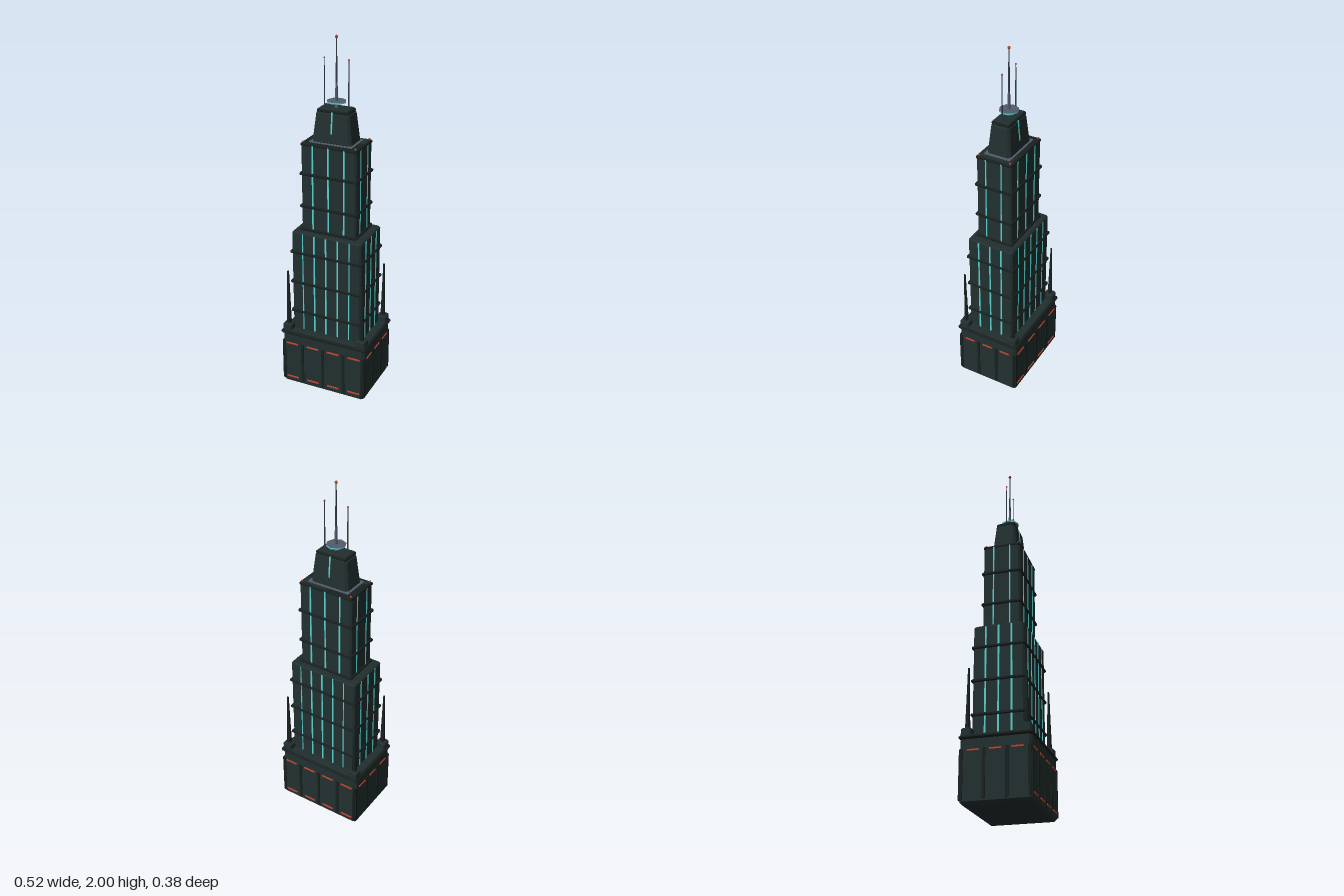
import * as THREE from 'three';

const mat = (name, color) => Object.assign(new THREE.MeshStandardMaterial({ color }), { name });

export function createModel() {
  const body = mat('dark stone', 0x222f2f);
  const trim = mat('black trim', 0x18211f);
  const cyan = mat('cyan light', 0x56cfcf);
  const red = mat('red light', 0xc2422f);
  const steel = mat('grey steel', 0x525c6b);
  const mast = mat('mast metal', 0x353b45);

  const model = new THREE.Group();
  model.name = 'skyscraper';

  const add = (name, geometry, material, x = 0, y = 0, z = 0) => {
    const mesh = new THREE.Mesh(geometry, material);
    mesh.name = name;
    mesh.position.set(x, y, z);
    model.add(mesh);
    return mesh;
  };
  const box = (name, material, w, h, d, x, y, z) =>
    add(name, new THREE.BoxGeometry(w, h, d), material, x, y, z);

  // Block with chamfered edges; hx, hz are half sizes, taper shrinks the top
  const chamfered = (hx, hz, y0, y1, c, taperX = 1, taperZ = 1) => {
    const a = hx - c, b = hz - c, k = c * 0.6;
    const shape = new THREE.Shape([
      [a - k, -b], [a, -b + k], [a, b - k], [a - k, b],
      [-a + k, b], [-a, b - k], [-a, -b + k], [-a + k, -b],
    ].map(([x, y]) => new THREE.Vector2(x, y)));
    const h = y1 - y0;
    const g = new THREE.ExtrudeGeometry(shape, {
      depth: h - 2 * c, bevelEnabled: true, bevelSize: c, bevelThickness: c, bevelSegments: 1,
    });
    g.rotateX(-Math.PI / 2).translate(0, y0 + c, 0);
    const p = g.attributes.position;
    for (let i = 0; i < p.count; i++) {
      const t = (p.getY(i) - y0) / h;
      p.setX(i, p.getX(i) * (1 + (taperX - 1) * t));
      p.setZ(i, p.getZ(i) * (1 + (taperZ - 1) * t));
    }
    g.computeVertexNormals();
    return g;
  };
  const block = (name, material, ...args) => add(name, chamfered(...args), material);

  // Base with cornice
  block('base', body, 0.25, 0.182, 0, 0.33, 0.012);
  block('baseCornice', trim, 0.26, 0.19, 0.32, 0.342, 0.008);
  block('baseRoof', body, 0.25, 0.18, 0.325, 0.346, 0.006);

  // Base pilasters, rails and red lights on all four sides
  for (const s of [-1, 1]) {
    for (const x of [-0.24, -0.127, 0, 0.127, 0.24])
      box('basePilaster', trim, 0.016, 0.25, 0.008, x, 0.145, s * 0.182);
    for (const z of [-0.172, -0.058, 0.058, 0.172])
      box('basePilaster', trim, 0.008, 0.25, 0.016, s * 0.25, 0.145, z);
    for (const x of [-0.19, -0.0625, 0.0625, 0.19])
      for (const y of [0.04, 0.263])
        box('baseLight', red, 0.072, 0.008, 0.006, x, y, s * 0.184);
    for (const z of [-0.113, 0, 0.113])
      box('baseLight', red, 0.006, 0.008, 0.06, s * 0.252, 0.263, z);
  }

  // Corner pylons
  for (const x of [-0.223, 0.223]) for (const z of [-0.152, 0.152]) {
    const foot = block('pylonFoot', body, 0.028, 0.028, 0.335, 0.38, 0.006);
    foot.position.set(x, 0, z);
    const part = (rt, rb, y0, y1) =>
      add('pylon', new THREE.CylinderGeometry(rt, rb, y1 - y0, 6).toNonIndexed(), trim, x, (y0 + y1) / 2, z)
        .geometry.computeVertexNormals();
    part(0.009, 0.014, 0.38, 0.55);
    part(0.005, 0.009, 0.55, 0.705);
  }

  // Two shaft tiers with ring bands and vertical light strips
  const tiers = [
    { name: 'lowerShaft', hx: 0.205, hz: 0.136, y0: 0.34, y1: 0.945, bands: [0.457, 0.64, 0.823],
      xs: [-0.138, -0.069, 0, 0.069, 0.138], zs: [-0.069, 0, 0.069], wz: 0.009 },
    { name: 'upperShaft', hx: 0.158, hz: 0.102, y0: 0.94, y1: 1.445, bands: [0.956, 1.09, 1.275, 1.437],
      xs: [-0.09, 0, 0.09], zs: [-0.045, 0.045], wz: 0.007 },
  ];
  for (const t of tiers) {
    const mid = (t.y0 + t.y1) / 2, h = t.y1 - t.y0 - 0.016;
    block(t.name, body, t.hx, t.hz, t.y0, t.y1, 0.008);
    for (const y of t.bands) {
      const out = y > 1.4 ? 0.002 : 0.008;
      block(t.name + 'Band', trim, t.hx + out, t.hz + out, y - 0.008, y + 0.008, 0.004);
    }
    for (const s of [-1, 1]) {
      for (const x of t.xs)
        box(t.name + 'Light', cyan, Math.abs(x) > 0.1 ? 0.006 : 0.009, h, 0.006, x, mid, s * t.hz);
      for (const z of t.zs)
        box(t.name + 'Light', cyan, 0.006, h, t.wz, s * t.hx, mid, z);
    }
  }

  // Red lights on the upper shaft corners
  for (const x of [-0.148, 0.148]) for (const z of [-0.091, 0.091])
    add('cornerLight', new THREE.SphereGeometry(0.006, 8, 6), red, x, 1.45, z);

  // Tapered crown on a steel plate
  box('crownPlate', steel, 0.246, 0.01, 0.152, 0, 1.445, 0);
  block('crown', body, 0.113, 0.068, 1.44, 1.615, 0.012, 0.82, 0.77);
  block('crownCap', trim, 0.09, 0.052, 1.605, 1.625, 0.006);
  block('crownRoof', body, 0.082, 0.045, 1.61, 1.628, 0.003);
  for (const s of [-1, 1]) {
    const strip = box('crownLight', cyan, 0.008, 0.115, 0.005, 0, 1.558, s * 0.058);
    strip.rotation.x = -s * Math.atan(0.0156 / 0.175);
  }

  // Halo disc
  const halo = new THREE.CylinderGeometry(0.052, 0.052, 0.008, 8);
  add('haloDisc', halo, [cyan, steel, steel], 0, 1.66, 0);

  // Masts with red tips
  const rod = (name, material, rt, rb, y0, y1, x = 0) =>
    add(name, new THREE.CylinderGeometry(rt, rb, y1 - y0, 8), material, x, (y0 + y1) / 2, 0);
  rod('mastBase', steel, 0.006, 0.01, 1.62, 1.76);
  rod('mainMast', mast, 0.003, 0.005, 1.76, 1.99);
  add('mainMastTip', new THREE.SphereGeometry(0.008, 10, 8), red, 0, 1.992, 0);
  for (const x of [-0.068, 0.068]) {
    rod('sideMast', mast, 0.002, 0.004, 1.62, 1.88, x);
    add('sideMastTip', new THREE.SphereGeometry(0.005, 8, 6), red, x, 1.88, 0);
  }
  return model;
}
